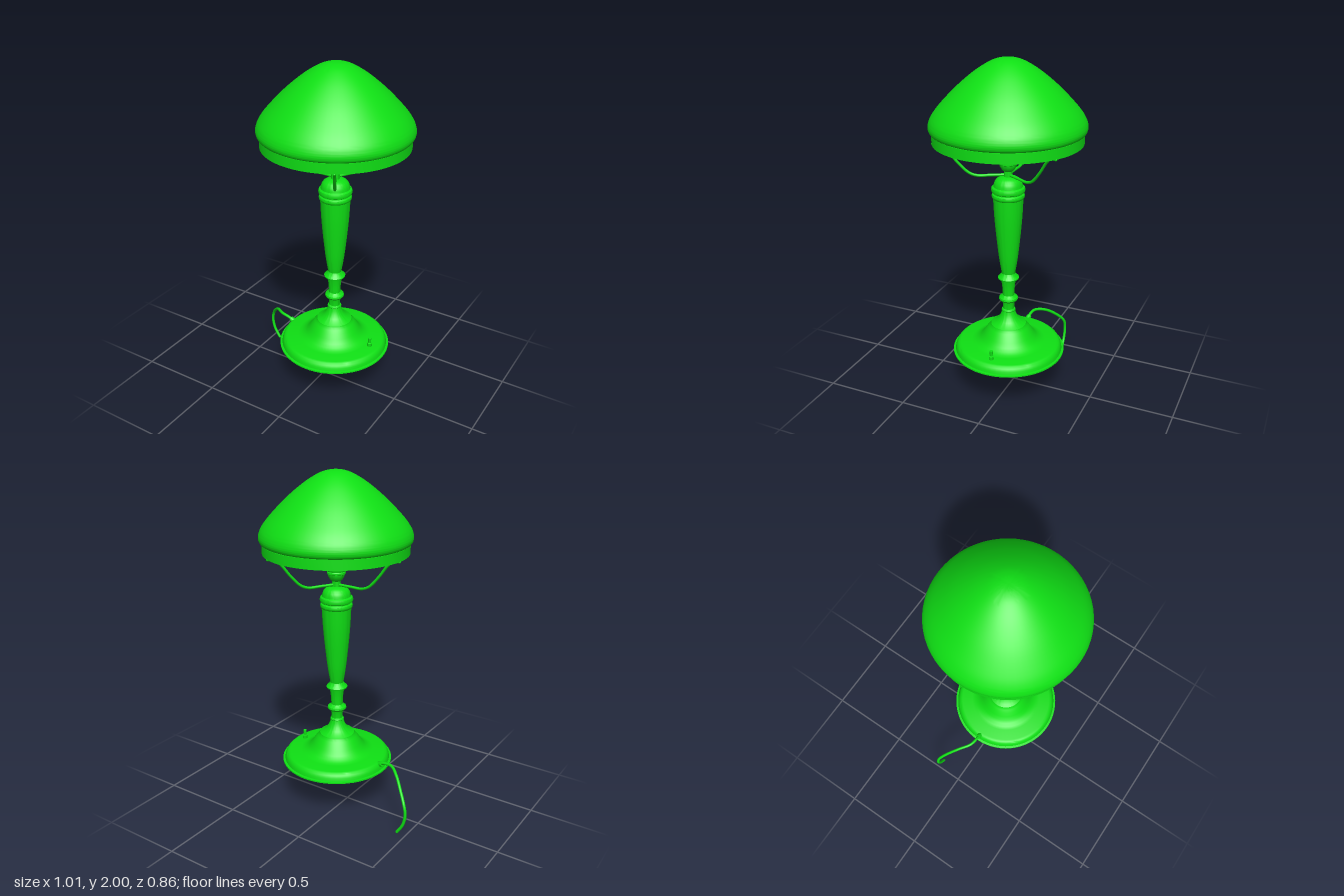
import * as THREE from 'three';
import { toCreasedNormals } from 'three/addons/utils/BufferGeometryUtils.js';

const green = new THREE.MeshStandardMaterial({ color: 0x0fe014, side: THREE.DoubleSide });
const vec2 = (points) => points.map(([r, y]) => new THREE.Vector2(r, y));

// Turned part around the y axis; edges sharper than the crease stay crisp
function turned(name, points, smooth = 0, crease = 0.6) {
  let profile = vec2(points);
  if (smooth) {
    profile = new THREE.SplineCurve(profile).getPoints(smooth);
    profile.forEach((p) => { p.x = Math.max(p.x, 0); });
  }
  const mesh = new THREE.Mesh(toCreasedNormals(new THREE.LatheGeometry(profile, 64), crease), green);
  mesh.name = name;
  return mesh;
}

function rod(name, points, radius, segments = 60) {
  const curve = new THREE.CatmullRomCurve3(points.map((p) => new THREE.Vector3(...p)));
  const group = new THREE.Group();
  group.name = name;
  group.add(new THREE.Mesh(new THREE.TubeGeometry(curve, segments, radius, 10), green));
  // Close both ends
  for (const t of [0, 1]) {
    const cap = new THREE.Mesh(new THREE.SphereGeometry(radius, 10, 8), green);
    cap.position.copy(curve.getPoint(t));
    group.add(cap);
  }
  return group;
}

export function createModel() {
  const model = new THREE.Group();
  const lamp = new THREE.Group();
  lamp.name = 'lamp';
  lamp.position.x = 0.075;
  model.add(lamp);

  // Foot: rimmed disc rising in a bell to the stem
  lamp.add(turned('base', [
    [0, 0.27], [0.33, 0.27], [0.33, 0.278], [0.317, 0.28], [0.314, 0.295],
    [0.308, 0.31], [0.298, 0.32], [0.285, 0.324], [0.22, 0.326], [0.2, 0.331], [0.18, 0.342],
    [0.163, 0.357], [0.147, 0.38], [0.13, 0.405], [0.116, 0.423], [0.106, 0.434], [0.103, 0.442],
    [0.085, 0.452], [0.065, 0.468], [0.052, 0.487], [0.042, 0.51], [0.038, 0.528],
  ]));

  // Stem with two collars
  lamp.add(turned('stem', [
    [0.038, 0.525], [0.041, 0.53], [0.038, 0.537], [0.033, 0.54], [0.034, 0.57], [0.038, 0.587],
    [0.05, 0.593], [0.056, 0.603], [0.054, 0.613], [0.042, 0.62], [0.034, 0.628],
    [0.035, 0.66], [0.039, 0.7], [0.044, 0.727], [0.06, 0.734], [0.062, 0.741],
    [0.054, 0.75], [0.046, 0.758], [0.04, 0.77],
  ]));

  // Long tapering vase body
  lamp.add(turned('body', [
    [0.038, 0.765], [0.046, 0.81], [0.055, 0.87], [0.064, 0.95],
    [0.073, 1.04], [0.08, 1.13], [0.085, 1.232],
  ], 24));

  // Two ring mouldings and the domed shoulder
  lamp.add(turned('shoulder', [
    [0.085, 1.228], [0.091, 1.234], [0.093, 1.244], [0.09, 1.253], [0.083, 1.258],
    [0.083, 1.262], [0.093, 1.268], [0.096, 1.28], [0.092, 1.292], [0.082, 1.298],
    [0.08, 1.31], [0.076, 1.324], [0.066, 1.338], [0.05, 1.348], [0.03, 1.354], [0, 1.356],
  ]));

  // Neck and bulb holder
  lamp.add(turned('socket', [
    [0.024, 1.35], [0.024, 1.385], [0.034, 1.392], [0.046, 1.412], [0.049, 1.425],
    [0.053, 1.428], [0.053, 1.438], [0.049, 1.442], [0.052, 1.45], [0.052, 1.6], [0.045, 1.6],
  ]));
  lamp.add(turned('bulb', [
    [0.045, 1.59], [0.06, 1.63], [0.088, 1.68], [0.1, 1.73], [0.09, 1.78], [0.055, 1.82], [0, 1.833],
  ], 28));

  // Three wire arms carrying the shade
  for (let i = 0; i < 3; i++) {
    const arm = rod('shadeArm', [
      [0.405, 1.55, 0], [0.365, 1.547, 0], [0.33, 1.515, 0], [0.275, 1.444, 0],
      [0.215, 1.383, 0], [0.17, 1.365, 0], [0.1, 1.364, 0], [0.01, 1.364, 0],
    ], 0.008);
    arm.rotation.y = Math.PI / 3 + i * Math.PI * 2 / 3;
    lamp.add(arm);
  }

  // Rim band with a small inner lip
  lamp.add(turned('shadeRim', [
    [0.385, 1.552], [0.411, 1.552], [0.411, 1.608], [0.4, 1.608], [0.4, 1.558], [0.385, 1.558], [0.385, 1.552],
  ]));

  // Domed shade
  lamp.add(turned('shade', [
    [0.4, 1.607], [0.419, 1.614], [0.428, 1.635], [0.424, 1.663], [0.407, 1.698], [0.365, 1.752],
    [0.275, 1.845], [0.18, 1.925], [0.1, 1.976], [0.045, 1.996], [0, 2],
  ], 50));

  // Toggle switch on the foot
  const toggle = turned('switch', [
    [0, 0.32], [0.014, 0.32], [0.014, 0.345], [0.008, 0.348], [0.01, 0.38], [0, 0.382],
  ]);
  toggle.position.x = 0.245;
  lamp.add(toggle);

  // Cord and its grommet
  model.add(rod('cord', [
    [-0.215, 0.305, 0], [-0.255, 0.323, 0], [-0.315, 0.329, -0.01], [-0.38, 0.308, -0.06],
    [-0.445, 0.25, -0.118], [-0.485, 0.195, -0.15], [-0.497, 0.14, -0.155],
    [-0.483, 0.07, -0.155], [-0.447, 0.01, -0.155],
  ], 0.009, 80));
  const grommet = new THREE.Mesh(new THREE.CylinderGeometry(0.016, 0.016, 0.04, 16), green);
  grommet.name = 'grommet';
  grommet.position.set(-0.225, 0.309, 0);
  grommet.rotation.z = 1.1;
  model.add(grommet);

  return model;
}
